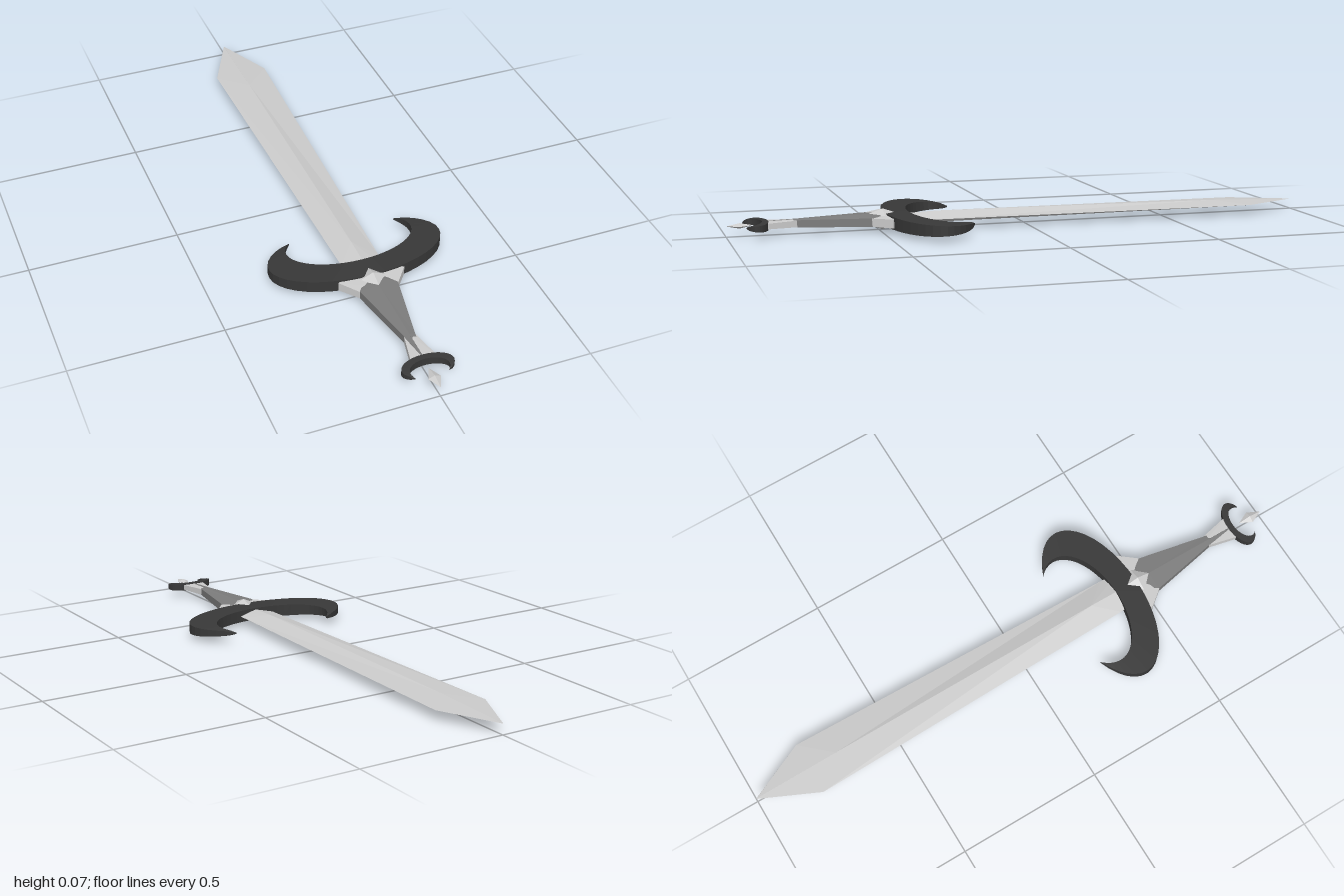
import * as THREE from 'three';

const MID = 0.035; // height of the sword's central plane

// Skins a list of equal-length rings (counter-clockwise seen from the start) and caps the ends.
function loft(name, rings, color = 0xcccccc) {
  const n = rings[0].length, index = [];
  rings.forEach((ring, r) => {
    if (r === rings.length - 1) return;
    for (let j = 0; j < n; j++) {
      const k = (j + 1) % n;
      const a = r * n + j, b = r * n + k, c = a + n, d = b + n;
      index.push(a, c, d, a, d, b);
    }
  });
  const end = (rings.length - 1) * n;
  for (let j = 1; j < n - 1; j++) {
    index.push(0, j, j + 1, end, end + j + 1, end + j);
  }
  const geo = new THREE.BufferGeometry();
  geo.setAttribute('position', new THREE.Float32BufferAttribute(rings.flat(2), 3));
  geo.setIndex(index);
  geo.computeVertexNormals();
  return finish(name, geo, color);
}

function finish(name, geo, color = 0xcccccc) {
  const mesh = new THREE.Mesh(geo, new THREE.MeshStandardMaterial({ color, flatShading: true }));
  mesh.name = name;
  mesh.position.y = MID;
  return mesh;
}

// Diamond section whose side edges and ridge may sit at different z
const diamond = (w, h, zEdge, zRidge = zEdge) =>
  [[w, 0, zEdge], [0, h, zRidge], [-w, 0, zEdge], [0, -h, zRidge]];

// Six-sided section: short upright sides and a raised centre line
const ridged = (w, side, ridge, z) =>
  [[w, -side, z], [w, side, z], [0, ridge, z], [-w, side, z], [-w, -side, z], [0, -ridge, z]];

// Crescent between two ellipses meeting at x = tipX; dir = 1 opens to -z, -1 to +z
function crescent(name, { dir, tipX, outer, inner, thick, steps }) {
  const point = ([rx, rz, cz], t) => {
    const a0 = -Math.acos(tipX / rx);
    const a = THREE.MathUtils.lerp(a0, Math.PI - a0, t);
    return [dir * rx * Math.cos(a), cz + dir * rz * Math.sin(a)];
  };
  const rings = [];
  for (let i = 0; i <= steps; i++) {
    const t = i / steps;
    const [ox, oz] = point(outer, t), [ix, iz] = point(inner, t);
    const h = thick * (0.12 + 0.88 * Math.sqrt(Math.sin(Math.PI * t)));
    rings.push([[ix, -h, iz], [ix, h, iz], [ox, h, oz], [ox, -h, oz]]);
  }
  return loft(name, rings, 0x383838);
}

function gem(name, rx, ry, rz, z) {
  const mesh = finish(name, new THREE.OctahedronGeometry(1).scale(rx, ry, rz));
  mesh.position.z = z;
  return mesh;
}

export function createModel() {
  const sword = new THREE.Group();
  sword.name = 'sword';

  // Blade widens towards the point, its ridge flattening out
  sword.add(loft('blade', [
    diamond(0.063, 0.014, 0.45),
    diamond(0.066, 0.019, 0.38, 0.3),
    diamond(0.094, 0.009, -0.8, -0.7),
    diamond(0.0005, 0.0005, -1),
  ]));

  // Crescent guard with its centre gem
  sword.add(crescent('guard', {
    dir: 1, tipX: 0.185, thick: 0.021, steps: 32,
    outer: [0.296, 0.146, 0.335], inner: [0.217, 0.118, 0.282],
  }));
  sword.add(gem('guardGem', 0.08, 0.035, 0.1, 0.487));

  // Collar behind the guard
  sword.add(loft('collar', [
    ridged(0.066, 0.013, 0.016, 0.535),
    ridged(0.113, 0.015, 0.018, 0.475),
    ridged(0.06, 0.015, 0.018, 0.44),
  ]));

  // Tapering grip, running out in a point over the flared neck
  sword.add(loft('grip', [
    ridged(0.004, 0.006, 0.012, 0.88),
    ridged(0.019, 0.012, 0.014, 0.77),
    ridged(0.065, 0.014, 0.019, 0.535),
    ridged(0.025, 0.016, 0.02, 0.48),
  ], 0x7c7c7c));
  sword.add(loft('neck', [
    ridged(0.044, 0.009, 0.01, 0.885),
    ridged(0.018, 0.011, 0.013, 0.77),
  ]));

  // Small crescent pommel with its loose gem
  sword.add(crescent('pommel', {
    dir: -1, tipX: 0.055, thick: 0.013, steps: 24,
    outer: [0.085, 0.043, 0.908], inner: [0.064, 0.037, 0.922],
  }));
  sword.add(gem('pommelGem', 0.021, 0.009, 0.044, 0.956));

  return sword;
}
